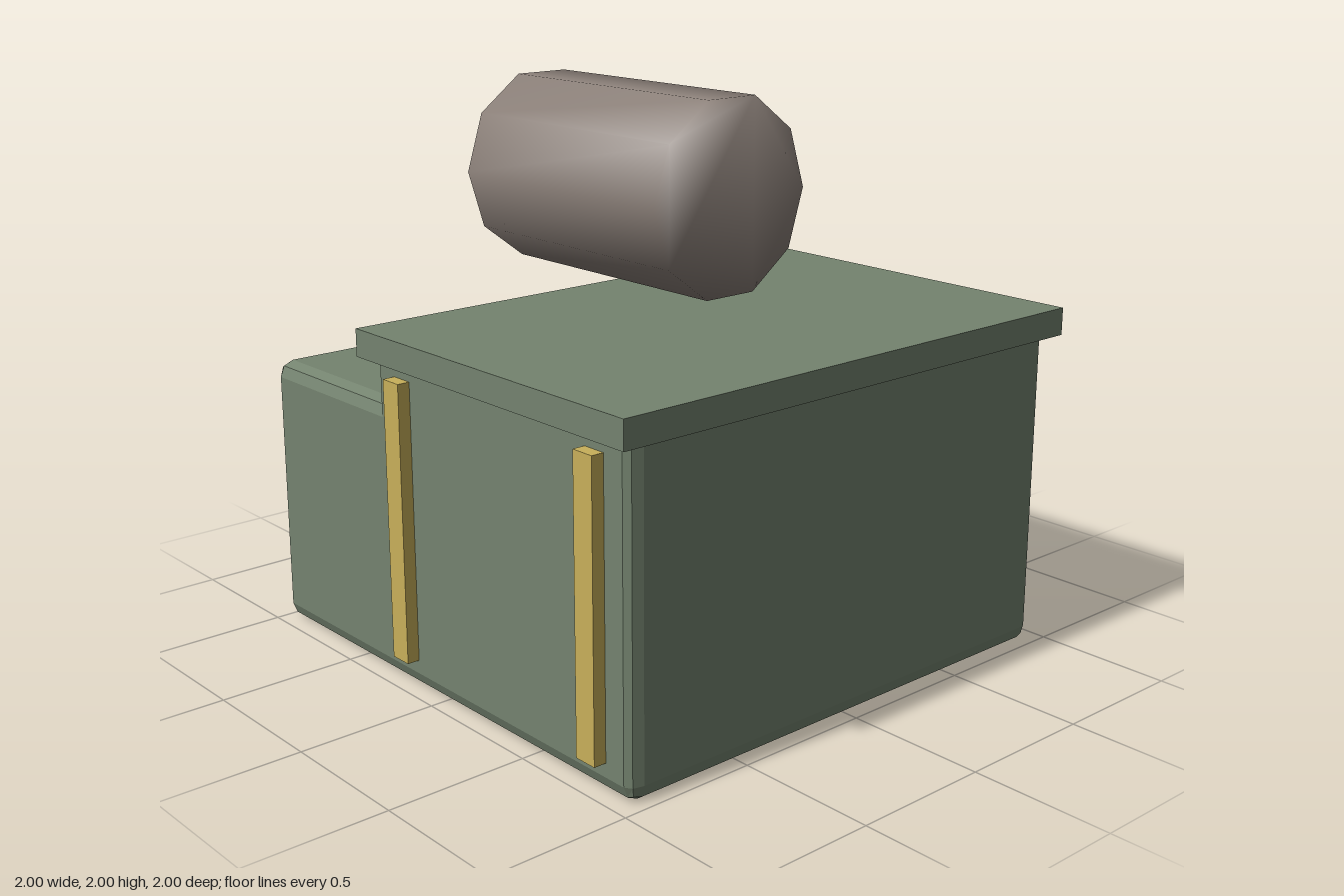
import * as THREE from 'three';
import { RoundedBoxGeometry } from 'three/addons/geometries/RoundedBoxGeometry.js';
import { mergeVertices } from 'three/addons/utils/BufferGeometryUtils.js';

const green = new THREE.MeshStandardMaterial({ color: 0x74836f, flatShading: true });
green.name = 'sageGreen';
const gold = new THREE.MeshStandardMaterial({ color: 0xc8b05a });
gold.name = 'mutedGold';
const taupe = new THREE.MeshStandardMaterial({ color: 0x8b8079 });
taupe.name = 'warmGrey';

// Bevel depth along each axis
const BEVEL = [0.033, 0.055, 0.053];

// Place a geometry between two opposite corners
function place(name, geometry, material, min, max) {
  const mesh = new THREE.Mesh(geometry, material);
  mesh.name = name;
  mesh.position.set(...min.map((v, i) => (v + max[i]) / 2));
  return mesh;
}

function box(name, material, min, max) {
  const size = min.map((v, i) => max[i] - v);
  return place(name, new THREE.BoxGeometry(...size), material, min, max);
}

// Box with two-facet bevels on every edge
function bevelBox(name, material, min, max) {
  const units = min.map((v, i) => (max[i] - v) / BEVEL[i]);
  const geometry = new RoundedBoxGeometry(...units, 1, 1).scale(...BEVEL);
  return place(name, geometry, material, min, max);
}

// Ten-sided drum along x, with normals shared between its wall and ends
function drumGeometry(length, radiusY, radiusZ) {
  const points = [];
  for (let i = 0; i < 10; i++) {
    const a = (i / 10) * Math.PI * 2;
    points.push(new THREE.Vector2(Math.cos(a) * radiusZ, Math.sin(a) * radiusY));
  }
  let geometry = new THREE.ExtrudeGeometry(new THREE.Shape(points), { depth: length, bevelEnabled: false });
  geometry.translate(0, 0, -length / 2).rotateY(Math.PI / 2);
  geometry.deleteAttribute('uv');
  geometry.deleteAttribute('normal');
  geometry = mergeVertices(geometry);
  geometry.computeVertexNormals();
  return geometry;
}

export function createModel() {
  const model = new THREE.Group();
  model.name = 'building';

  // Main block and the lower side wing, flush at the front
  model.add(bevelBox('mainBlock', green, [-0.34, 0, -0.947], [0.967, 1.185, 0.95]));
  model.add(bevelBox('sideWing', green, [-1, 0, -0.765], [-0.25, 0.985, 0.95]));

  // Overhanging flat roof
  model.add(box('roofSlab', green, [-0.37, 1.135, -1], [1, 1.232, 1]));

  // Two upright strips on the front
  for (const x of [-0.182, 0.808]) {
    model.add(box('frontStrip', gold, [x - 0.043, 0.103, 0.9], [x + 0.043, 1.087, 0.995]));
  }

  // Drum hovering over the roof
  const drum = new THREE.Mesh(drumGeometry(0.985, 0.325 / Math.cos(Math.PI / 10), 0.332), taupe);
  drum.name = 'roofDrum';
  drum.position.set(-0.017, 1.675, 0.095);
  model.add(drum);

  return model;
}
